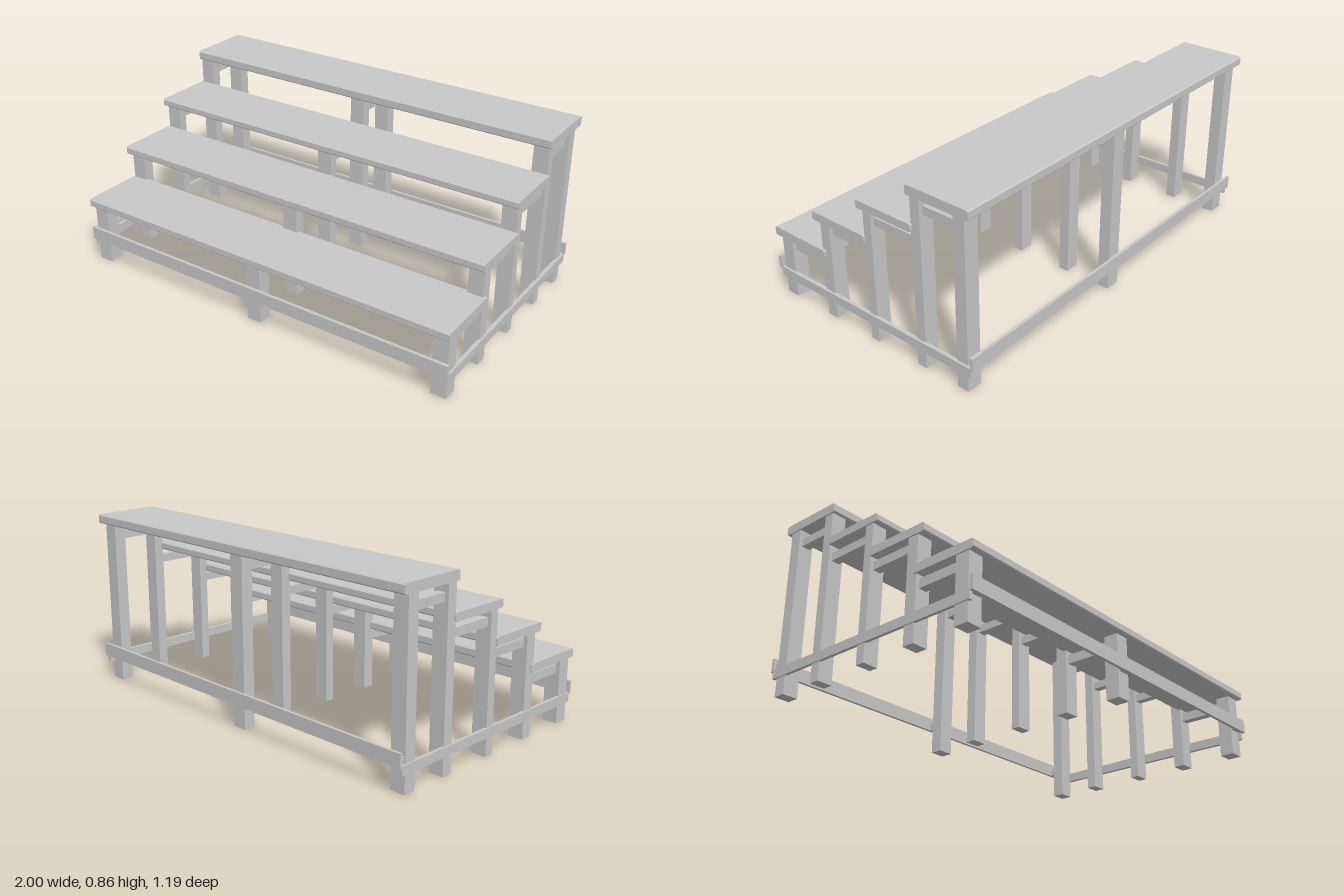
import * as THREE from 'three';

export function createModel() {
  const model = new THREE.Group();
  model.name = 'bleachers';
  const grey = new THREE.MeshStandardMaterial({ color: 0xc8c8c8 });
  grey.name = 'plain grey';

  // Box given by its extents on each axis
  function beam(name, [x0, x1], [y0, y1], [z0, z1]) {
    const mesh = new THREE.Mesh(new THREE.BoxGeometry(x1 - x0, y1 - y0, z1 - z0), grey);
    mesh.position.set((x0 + x1) / 2, (y0 + y1) / 2, (z0 + z1) / 2);
    mesh.name = name;
    model.add(mesh);
  }

  // Plank with slightly chamfered long edges, running along x
  function plank(name, [x0, x1], [y0, y1], [z0, z1]) {
    const c = 0.006;
    const s = new THREE.Shape([
      [-z1, y0 + c], [-z1 + c, y0], [-z0 - c, y0], [-z0, y0 + c],
      [-z0, y1 - c], [-z0 - c, y1], [-z1 + c, y1], [-z1, y1 - c],
    ].map(([a, b]) => new THREE.Vector2(a, b)));
    const geo = new THREE.ExtrudeGeometry(s, { depth: x1 - x0, bevelEnabled: false });
    geo.rotateY(Math.PI / 2);
    geo.translate(x0, 0, 0);
    const mesh = new THREE.Mesh(geo, grey);
    mesh.name = name;
    model.add(mesh);
  }

  // Four stepped seats: height and depth extents
  const seats = [
    { y: [0.302, 0.343], z: [0.265, 0.595] },
    { y: [0.482, 0.522], z: [0.0, 0.32] },
    { y: [0.645, 0.682], z: [-0.283, 0.03] },
    { y: [0.81, 0.855], z: [-0.592, -0.264] },
  ];
  seats.forEach((s, i) => plank('seat' + (i + 1), [-1, 1], s.y, s.z));

  // Post rows, front to back, and the short braces between neighbours
  const posts = [
    { z: [0.5, 0.568], top: 0.305 },
    { z: [0.229, 0.285], top: 0.485 },
    { z: [-0.04, 0.004], top: 0.648 },
    { z: [-0.325, -0.276], top: 0.813 },
    { z: [-0.56, -0.502], top: 0.813 },
  ];
  const braceHeights = [[0.241, 0.284], [0.425, 0.465], [0.572, 0.612], [0.73, 0.77]];

  for (const x of [-0.957, -0.01, 0.95]) {
    posts.forEach((p) => beam('post', [x - 0.037, x + 0.037], [0, p.top], p.z));
    braceHeights.forEach((y, i) =>
      beam('seatBrace', [x - 0.02, x + 0.02], y, [posts[i + 1].z[1] - 0.005, posts[i].z[0] + 0.005]));
    // Spacers between end posts and the long rails
    beam('frontSpacer', [x - 0.03, x + 0.03], [0.125, 0.163], [0.56, 0.585]);
    beam('backSpacer', [x - 0.03, x + 0.03], [0.125, 0.163], [-0.585, -0.55]);
  }

  // Long rails along the front and back
  beam('frontRail', [-1, 1], [0.123, 0.187], [0.581, 0.597]);
  beam('backRail', [-1, 1], [0.123, 0.187], [-0.597, -0.583]);

  // Low rails along both sides
  beam('rightRail', [-1, -0.985], [0.088, 0.132], [-0.584, 0.581]);
  beam('leftRail', [0.98, 0.998], [0.088, 0.132], [-0.584, 0.581]);

  return model;
}
